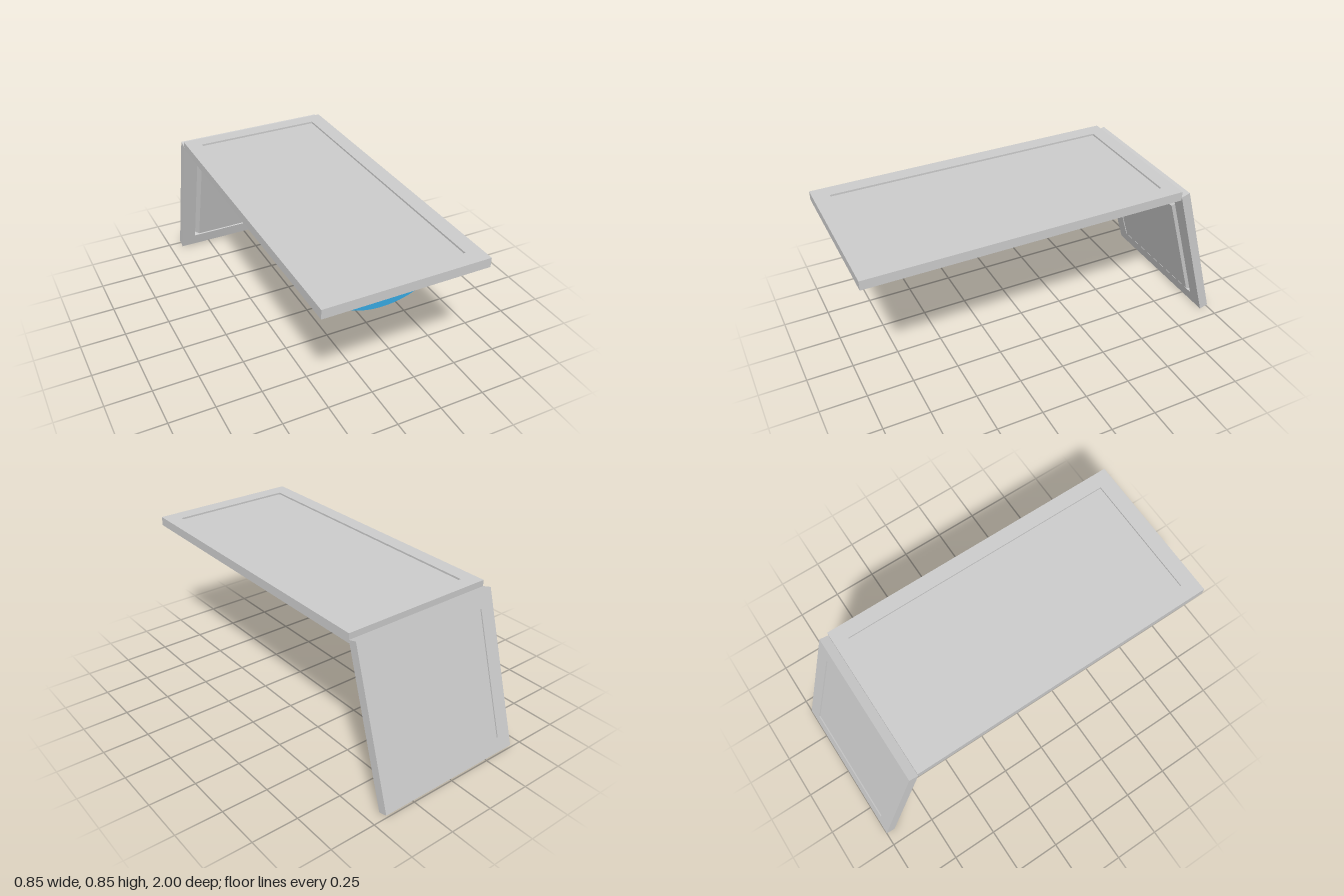
import * as THREE from 'three';

const grey = new THREE.MeshStandardMaterial({ color: 0xcccccc });
const blue = new THREE.MeshStandardMaterial({ color: 0x38a9e1 });

function add(parent, name, geometry, material = grey) {
  const mesh = new THREE.Mesh(geometry, material);
  mesh.name = name;
  parent.add(mesh);
  return mesh;
}

// Board in the local xy plane, 0.05 thick, with a rectangular opening [y0, y1]
function frame(halfX, halfY, openX, y0, y1) {
  const s = new THREE.Shape();
  s.moveTo(-halfX, -halfY).lineTo(halfX, -halfY).lineTo(halfX, halfY).lineTo(-halfX, halfY).closePath();
  const h = new THREE.Path();
  h.moveTo(-openX, y0).lineTo(-openX, y1).lineTo(openX, y1).lineTo(openX, y0).closePath();
  s.holes.push(h);
  return new THREE.ExtrudeGeometry(s, { depth: 0.05, bevelEnabled: false }).translate(0, 0, -0.025);
}

// Block tapering from a back rectangle to a front one; each is [halfX, y0, y1, z]
function taperedBlock(back, front) {
  const g = new THREE.BoxGeometry(2, 2, 2);
  const p = g.attributes.position;
  for (let i = 0; i < p.count; i++) {
    const [hx, y0, y1, z] = p.getZ(i) > 0 ? front : back;
    p.setXYZ(i, p.getX(i) * hx, p.getY(i) > 0 ? y1 : y0, z);
  }
  g.computeVertexNormals();
  return g;
}

export function createModel() {
  const model = new THREE.Group();

  // Horizontal top board: shallow recess above, bevelled panel below
  const top = new THREE.Group();
  top.name = 'topBoard';
  top.position.set(0, 0.83, 0.145);
  top.rotation.x = Math.PI / 2;
  add(top, 'topFrame', frame(0.427, 0.855, 0.345, -0.78, 0.77));
  add(top, 'topInset', taperedBlock([0.345, -0.78, 0.77, -0.015], [0.345, -0.78, 0.77, 0.025]));
  add(top, 'undersidePanel', taperedBlock([0.357, -0.785, 0.74, 0.025], [0.345, -0.765, 0.722, 0.045]));
  model.add(top);

  // Tilted support board with a bevelled panel set into its opening
  const leg = new THREE.Group();
  leg.name = 'supportBoard';
  leg.position.set(0, 0.42, -0.855);
  leg.rotation.x = 0.287;
  add(leg, 'supportFrame', frame(0.427, 0.426, 0.345, -0.35, 0.338));
  add(leg, 'supportPanel', taperedBlock([0.345, -0.35, 0.338, -0.018], [0.319, -0.332, 0.306, 0.032]));
  model.add(leg);

  // Half-elliptical roll hanging under the top board
  const roll = new THREE.CylinderGeometry(1, 1, 1.37, 32, 1, false, Math.PI / 2, Math.PI);
  roll.rotateX(Math.PI / 2).rotateZ(0);
  const p = roll.attributes.position;
  let sumY = 0;
  for (let i = 0; i < p.count; i++) sumY += p.getY(i);
  if (sumY > 0) roll.rotateZ(Math.PI);
  roll.scale(0.293, 0.19, 1).translate(-0.008, 0.788, 0.125);
  add(model, 'hangingRoll', roll, blue);

  return model;
}
